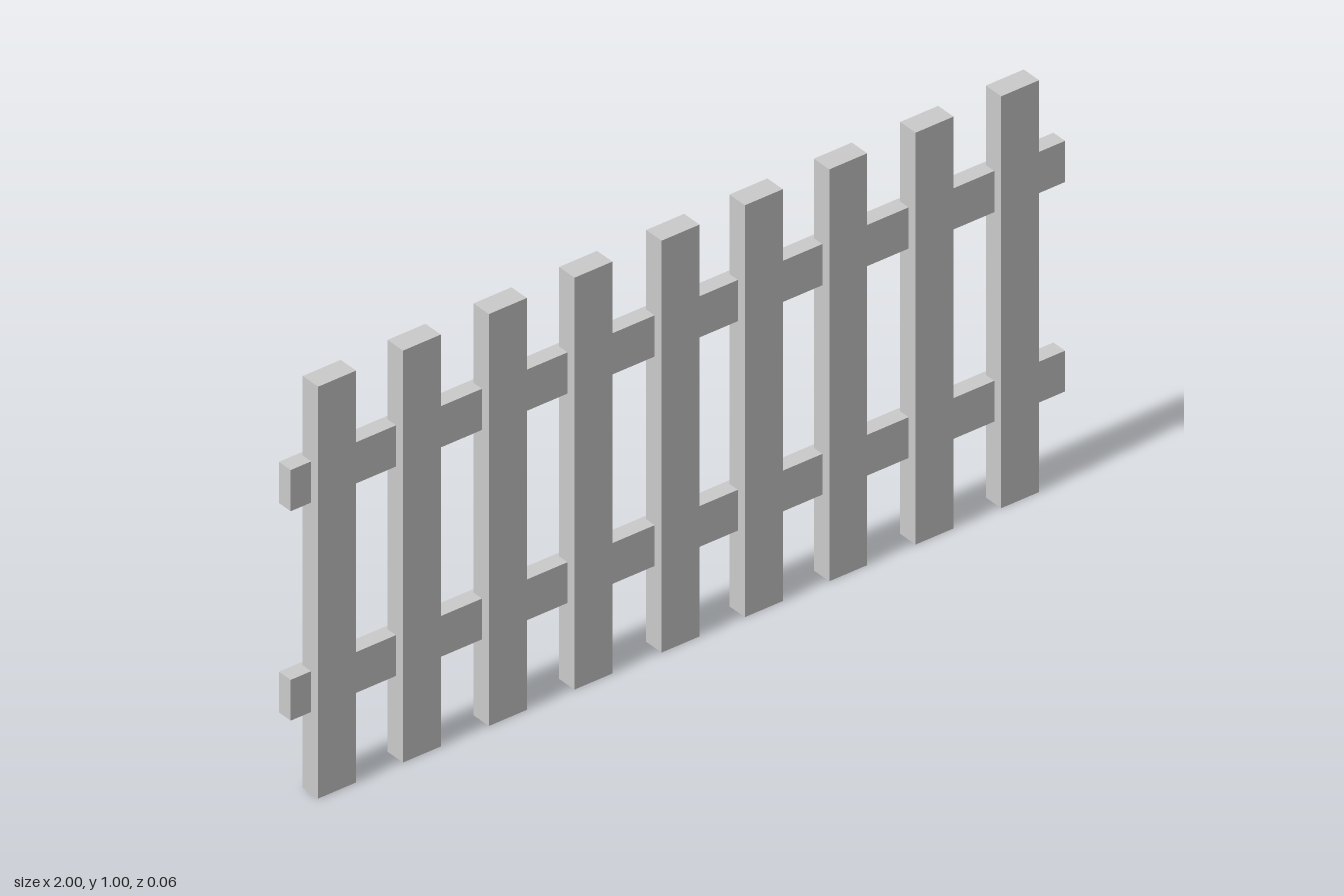
import * as THREE from 'three';

const material = new THREE.MeshStandardMaterial({ color: 0xcccccc, flatShading: true });

function board(name, size, position) {
  const mesh = new THREE.Mesh(new THREE.BoxGeometry(...size), material);
  mesh.name = name;
  mesh.position.set(...position);
  return mesh;
}

export function createModel() {
  const fence = new THREE.Group();
  fence.name = 'picketFence';

  // Upright pickets, slightly uneven in spacing
  const pickets = new THREE.Group();
  pickets.name = 'pickets';
  const centers = [-0.898, -0.679, -0.457, -0.236, -0.011, 0.204, 0.422, 0.645, 0.866];
  centers.forEach((x, i) => {
    pickets.add(board(`picket${i + 1}`, [0.098, 1, 0.051], [x, 0.5, 0.0055]));
  });
  fence.add(pickets);

  // Horizontal rails let into the back of the pickets
  fence.add(board('lowerRail', [2, 0.099, 0.039], [0, 0.248, -0.0115]));
  fence.add(board('upperRail', [2, 0.1, 0.039], [0, 0.757, -0.0115]));

  return fence;
}
